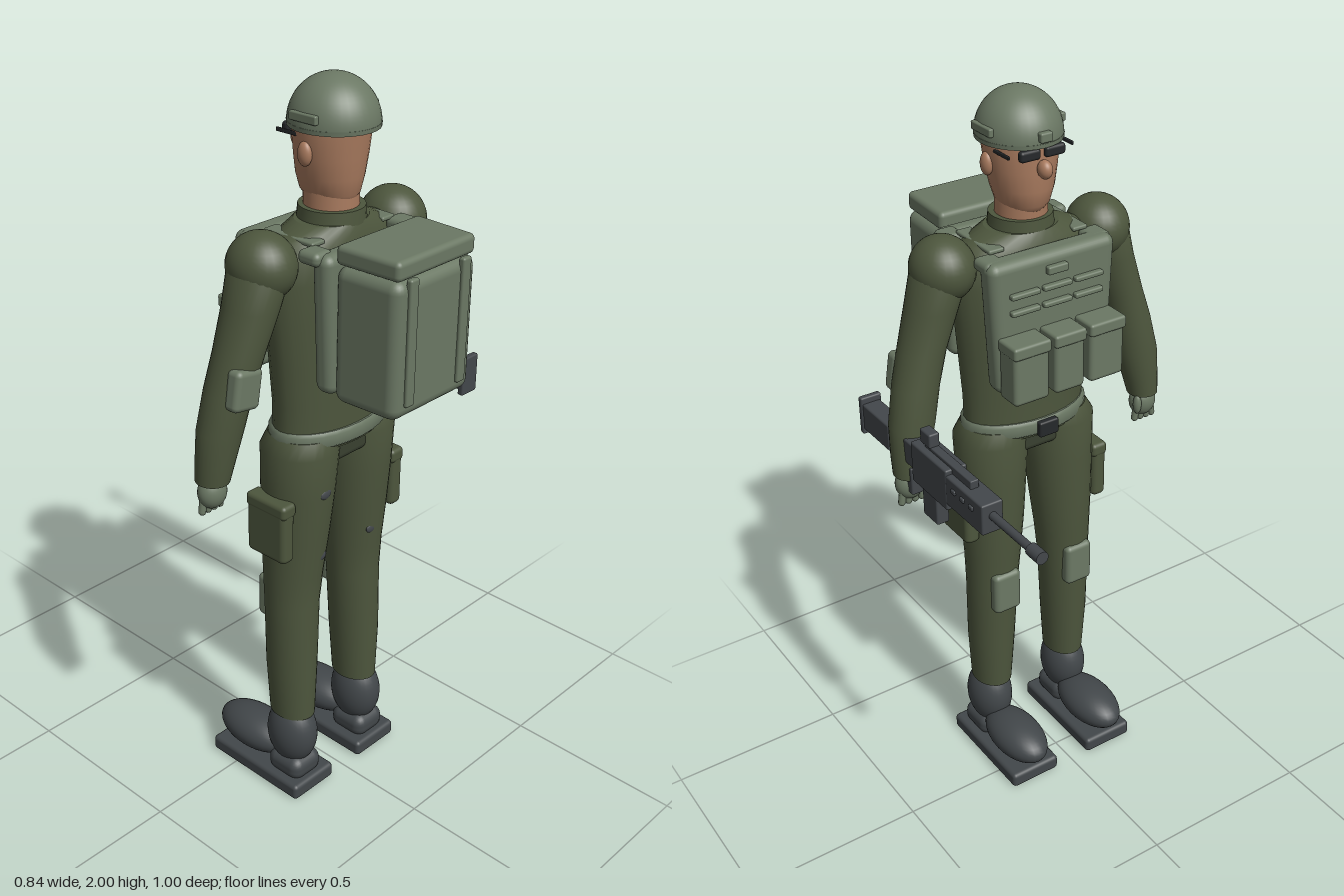
import * as THREE from 'three';
import { RoundedBoxGeometry } from 'three/addons/geometries/RoundedBoxGeometry.js';

const mat = (name, color) => {
  const m = new THREE.MeshStandardMaterial({ color });
  m.name = name;
  return m;
};

// Closed skin over horizontal ellipses [x, y, z, rx, rz], listed from bottom to top
function loft(stations, n = 28) {
  const first = stations[0], last = stations[stations.length - 1];
  const tip = (s) => [s[0], s[1], s[2], 0, 0];
  const rings = [tip(first), first, ...stations, last, tip(last)];
  const pos = [], idx = [];
  rings.forEach(([x, y, z, rx, rz], j) => {
    for (let i = 0; i < n; i++) {
      const a = (i / n) * Math.PI * 2;
      pos.push(x + Math.cos(a) * rx, y, z + Math.sin(a) * rz);
      if (j === rings.length - 1) continue;
      const p = j * n + i, q = j * n + ((i + 1) % n);
      idx.push(p, p + n, q, q, p + n, q + n);
    }
  });
  const g = new THREE.BufferGeometry();
  g.setAttribute('position', new THREE.Float32BufferAttribute(pos, 3));
  g.setIndex(idx);
  g.computeVertexNormals();
  return g;
}

export function createModel() {
  const root = new THREE.Group();
  root.name = 'soldier';
  const uniform = mat('olive uniform', 0x4d563d);
  const darkCloth = mat('dark cloth', 0x394030);
  const gear = mat('grey green gear', 0x6b7864);
  const skin = mat('skin', 0xa87a5e);
  const gun = mat('gunmetal', 0x43474b);
  const boot = mat('boot leather', 0x42474a);
  const black = mat('dark lens', 0x25282a);

  const add = (name, geo, m, x = 0, y = 0, z = 0, parent = root) => {
    const mesh = new THREE.Mesh(geo, m);
    mesh.name = name;
    mesh.position.set(x, y, z);
    parent.add(mesh);
    return mesh;
  };
  const box = (name, m, w, h, d, x, y, z, r = 0.012, parent = root) =>
    add(name, new RoundedBoxGeometry(w, h, d, 3, Math.min(r, w / 2.1, h / 2.1, d / 2.1)), m, x, y, z, parent);
  const ball = (name, m, rx, ry, rz, x, y, z, parent = root) => {
    const b = add(name, new THREE.SphereGeometry(1, 28, 20), m, x, y, z, parent);
    b.scale.set(rx, ry, rz);
    return b;
  };

  // Head and neck
  add('neck', loft([[0, 1.62, 0.155, 0.068, 0.07], [0, 1.78, 0.15, 0.066, 0.07]]), skin);
  add('head', loft([
    [0, 1.7, 0.15, 0.05, 0.065], [0, 1.72, 0.148, 0.066, 0.08], [0, 1.76, 0.148, 0.08, 0.087],
    [0, 1.81, 0.15, 0.091, 0.09], [0, 1.87, 0.152, 0.1, 0.093], [0, 1.91, 0.155, 0.098, 0.093],
  ]), skin);
  ball('nose', skin, 0.018, 0.024, 0.022, 0, 1.823, 0.045);
  for (const s of [-1, 1]) {
    ball('ear', skin, 0.015, 0.03, 0.02, s * 0.096, 1.825, 0.155);
    box('goggle lens', black, 0.058, 0.028, 0.02, s * 0.036, 1.862, 0.058, 0.008);
    box('goggle arm', black, 0.006, 0.01, 0.07, s * 0.092, 1.865, 0.095, 0.002);
    box('helmet rail', gear, 0.014, 0.022, 0.085, s * 0.104, 1.912, 0.158, 0.004);
  }

  // Helmet
  const dome = new THREE.SphereGeometry(1, 36, 16, 0, Math.PI * 2, 0, Math.PI / 2);
  add('helmet', dome, gear, 0, 1.885, 0.158).scale.set(0.109, 0.115, 0.115);
  add('helmet rim', loft([[0, 1.877, 0.158, 0.109, 0.115], [0, 1.888, 0.158, 0.11, 0.116]]), gear);
  box('helmet mount', gear, 0.035, 0.025, 0.02, 0, 1.905, 0.043, 0.005);

  // Torso
  add('torso', loft([
    [0, 1.08, 0.155, 0.178, 0.102], [0, 1.2, 0.155, 0.18, 0.103], [0, 1.32, 0.153, 0.19, 0.106],
    [0, 1.43, 0.15, 0.2, 0.108], [0, 1.53, 0.15, 0.207, 0.108], [0, 1.59, 0.15, 0.2, 0.104],
    [0, 1.63, 0.152, 0.165, 0.096], [0, 1.655, 0.154, 0.1, 0.085],
  ]), uniform);
  add('collar', loft([[0, 1.64, 0.155, 0.087, 0.087], [0, 1.685, 0.155, 0.082, 0.084]]), uniform);
  box('pelvis', darkCloth, 0.13, 0.1, 0.17, 0, 1.075, 0.155, 0.02);

  // Belt
  add('belt', loft([
    [0, 1.088, 0.155, 0.178, 0.108], [0, 1.096, 0.155, 0.187, 0.116],
    [0, 1.124, 0.155, 0.187, 0.116], [0, 1.132, 0.155, 0.178, 0.108],
  ]), gear);
  box('belt buckle', black, 0.06, 0.045, 0.02, 0, 1.108, 0.037, 0.006);

  for (const s of [-1, 1]) {
    // Arm
    ball('shoulder', uniform, 0.083, 0.085, 0.09, s * 0.235, 1.587, 0.15);
    add('sleeve', loft([
      [s * 0.378, 1.06, 0.118, 0.043, 0.045], [s * 0.372, 1.11, 0.122, 0.05, 0.05],
      [s * 0.357, 1.2, 0.128, 0.062, 0.057], [s * 0.335, 1.3, 0.137, 0.062, 0.062],
      [s * 0.308, 1.39, 0.145, 0.062, 0.066], [s * 0.27, 1.5, 0.15, 0.068, 0.074],
      [s * 0.245, 1.58, 0.15, 0.073, 0.08], [s * 0.235, 1.63, 0.15, 0.05, 0.06],
    ]), uniform);
    box('elbow pad', gear, 0.085, 0.105, 0.045, s * 0.338, 1.318, 0.19, 0.015).rotation.z = s * 0.16;

    // Gloved hand
    ball('hand', gear, 0.04, 0.045, 0.034, s * 0.38, 1.03, 0.118);
    for (let i = 0; i < 4; i++) {
      const finger = add('finger', new THREE.CapsuleGeometry(0.01, 0.035, 4, 10), gear,
        s * (0.353 + i * 0.018), 0.998, 0.112);
      finger.rotation.z = s * (i - 1.5) * 0.1;
    }
    ball('thumb', gear, 0.012, 0.03, 0.013, s * 0.345, 1.035, 0.095);

    // Leg
    add('trouser leg', loft([
      [s * 0.128, 0.24, 0.152, 0.055, 0.068], [s * 0.127, 0.4, 0.148, 0.066, 0.074],
      [s * 0.122, 0.6, 0.143, 0.074, 0.075], [s * 0.118, 0.7, 0.143, 0.079, 0.083],
      [s * 0.114, 0.82, 0.147, 0.088, 0.093], [s * 0.11, 0.95, 0.152, 0.096, 0.1],
      [s * 0.107, 1.07, 0.155, 0.102, 0.104], [s * 0.1, 1.11, 0.155, 0.085, 0.09],
    ]), uniform);
    box('thigh pocket', uniform, 0.045, 0.172, 0.135, s * 0.211, 0.868, 0.152, 0.016);
    box('pocket flap', uniform, 0.05, 0.04, 0.138, s * 0.21, 0.935, 0.152, 0.012);
    box('knee pad', gear, 0.085, 0.13, 0.04, s * 0.122, 0.595, 0.073, 0.015);

    // Boot
    ball('boot ankle', boot, 0.063, 0.1, 0.077, s * 0.133, 0.17, 0.157);
    box('boot heel', boot, 0.11, 0.07, 0.12, s * 0.133, 0.07, 0.165, 0.03);
    ball('boot toe', boot, 0.072, 0.056, 0.128, s * 0.132, 0.1, 0.015);
    box('boot sole', boot, 0.156, 0.046, 0.333, s * 0.131, 0.025, 0.076, 0.012);

    // Vest strap ends, joined over the shoulder
    box('rear strap end', gear, 0.062, 0.035, 0.065, s * 0.156, 1.615, 0.247, 0.015);
    box('front strap end', gear, 0.062, 0.035, 0.07, s * 0.156, 1.61, 0.055, 0.015);
    box('shoulder strap', gear, 0.045, 0.012, 0.16, s * 0.125, 1.632, 0.15, 0.005);
    box('pack strap', gear, 0.03, 0.32, 0.018, s * 0.095, 1.45, 0.49, 0.006);
  }

  // Vest plates, narrower toward the bottom
  for (const [name, z, d, w] of [['rear vest plate', 0.275, 0.06, 0.35], ['front vest plate', 0.034, 0.07, 0.375]]) {
    const plate = box(name, gear, w, 0.36, d, 0, 1.447, z, 0.025);
    const p = plate.geometry.attributes.position;
    for (let i = 0; i < p.count; i++) p.setX(i, p.getX(i) * (0.95 + p.getY(i) * 0.28));
  }

  // Chest pouches and webbing
  for (const [x, w] of [[-0.115, 0.105], [0, 0.09], [0.115, 0.105]]) {
    box('chest pouch', gear, w, 0.165, 0.075, x, 1.35, -0.03, 0.012);
    box('pouch flap', gear, w + 0.006, 0.035, 0.08, x, 1.417, -0.033, 0.008);
  }
  for (const y of [1.495, 1.54]) {
    for (let i = -1; i <= 1; i++) box('webbing loop', gear, 0.085, 0.014, 0.02, i * 0.095, y, -0.006, 0.005);
  }
  box('chest tab', gear, 0.06, 0.022, 0.02, 0, 1.585, -0.006, 0.005);

  // Backpack, narrower toward the rear
  const pack = box('backpack', gear, 0.306, 0.35, 0.19, 0, 1.43, 0.395, 0.03);
  const lid = box('backpack lid', gear, 0.296, 0.05, 0.185, 0, 1.63, 0.393, 0.014);
  for (const { geometry } of [pack, lid]) {
    const p = geometry.attributes.position;
    for (let i = 0; i < p.count; i++) p.setX(i, p.getX(i) * (0.97 - p.getZ(i) * 0.3));
  }

  // Rifle, muzzle toward -z
  const rifle = new THREE.Group();
  rifle.name = 'rifle';
  rifle.position.x = 0.382;
  root.add(rifle);
  const part = (name, w, y0, y1, z0, z1, r = 0.005) =>
    box(name, gun, w, y1 - y0, z1 - z0, 0, (y0 + y1) / 2, (z0 + z1) / 2, r, rifle);
  const tube = (name, r, z0, z1, y = 1.157) => {
    const t = add(name, new THREE.CylinderGeometry(r, r, z1 - z0, 16), gun, 0, y, (z0 + z1) / 2, rifle);
    t.rotation.x = Math.PI / 2;
  };
  part('receiver', 0.062, 1.09, 1.205, -0.13, 0.04);
  part('handguard', 0.06, 1.108, 1.192, -0.292, -0.12);
  part('top rail', 0.024, 1.19, 1.214, -0.215, 0.0, 0.003);
  part('sight', 0.03, 1.21, 1.25, -0.03, 0.018);
  part('magazine', 0.036, 0.998, 1.1, -0.055, 0.015);
  part('grip', 0.034, 1.02, 1.1, 0.07, 0.11);
  part('stock link', 0.045, 1.115, 1.185, 0.03, 0.18);
  part('stock', 0.052, 1.108, 1.185, 0.165, 0.305);
  part('butt plate', 0.06, 1.095, 1.203, 0.298, 0.316);
  tube('barrel', 0.011, -0.46, -0.28);
  tube('muzzle', 0.017, -0.5, -0.455);
  for (let i = 0; i < 3; i++) {
    box('side rail stud', gun, 0.008, 0.012, 0.018, 0.031, 1.165, -0.165 - i * 0.04, 0.003, rifle);
  }

  // Dark cloth patches on the uniform
  for (const [x, y, z] of [[-0.11, 0.96, 0.249], [0.13, 1.255, 0.232], [0.1, 0.76, 0.226], [-0.1, 0.76, 0.226]]) {
    ball('cloth patch', gun, 0.02, 0.014, 0.006, x, y, z);
  }
  return root;
}
